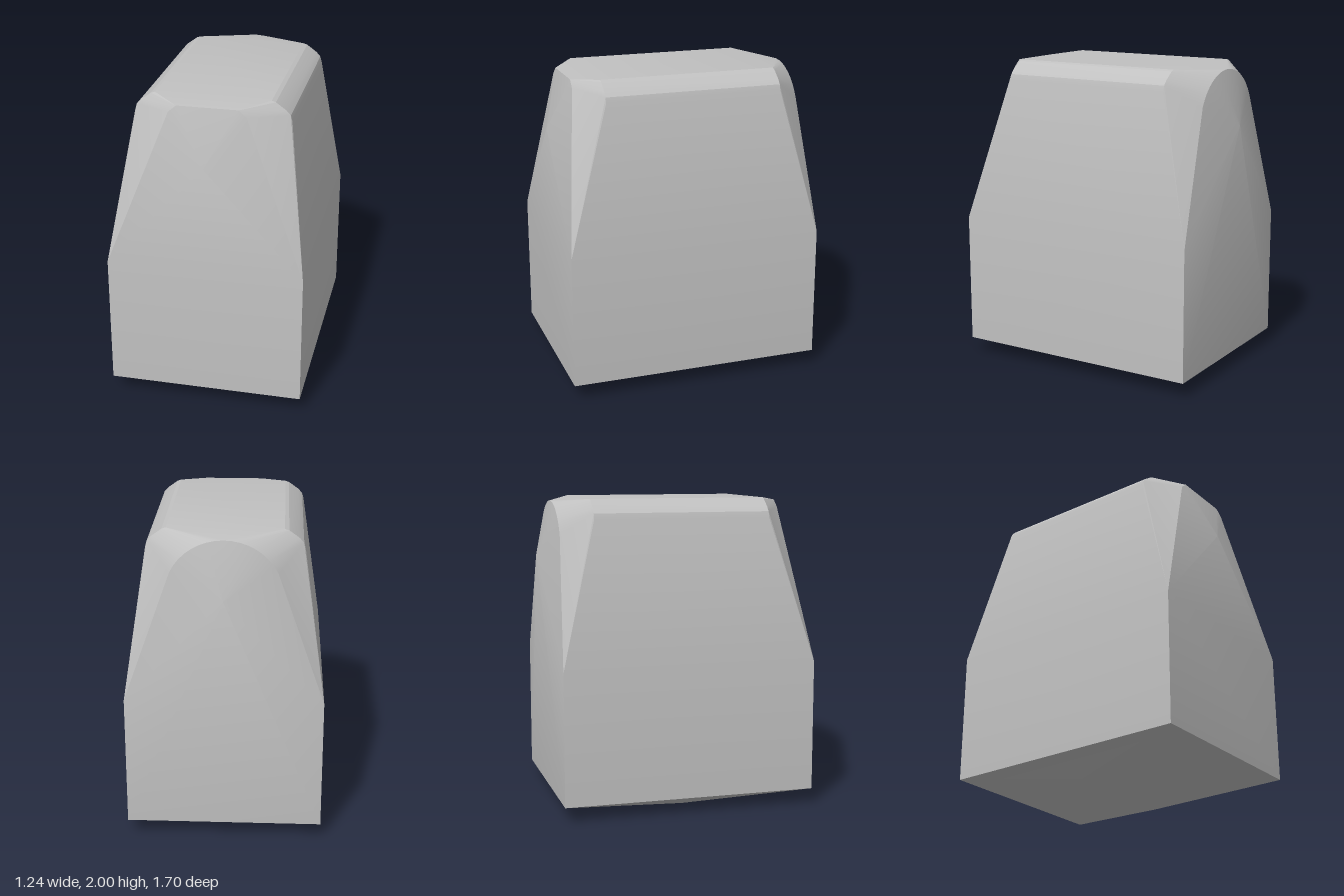
import * as THREE from 'three';
import { ConvexGeometry } from 'three/addons/geometries/ConvexGeometry.js';
import { toCreasedNormals } from 'three/addons/utils/BufferGeometryUtils.js';

export function createModel() {
  const group = new THREE.Group();
  group.name = 'facetedBlock';
  const grey = new THREE.MeshStandardMaterial({ color: 0xc0c0c0 });
  grey.name = 'plain grey';

  const points = [];
  const add = (x, y, z) => points.push(new THREE.Vector3(x, y, z));
  const pair = (x, y, z) => { add(x, y, z); add(-x, y, z); };

  // Round foot under the block
  for (let i = 0; i < 24; i++) {
    const a = (i / 24) * Math.PI * 2;
    add(0.39 * Math.cos(a), 0, 0.025 + 0.395 * Math.sin(a));
  }

  // Upright walls of the lower half
  for (const y of [0.1, 0.95]) {
    pair(0.62, y, 0.85);
    pair(0.62, y, -0.8);
  }

  // Rounded shoulders along the roof
  for (const [x, y] of [[0.487, 1.88], [0.477, 1.915], [0.45, 1.945], [0.385, 1.992], [0.36, 2]]) {
    pair(x, y, 0.575);
    pair(x, y, -0.57);
  }

  // Front point and the short ridge above it
  add(0, 1.63, 0.835);
  pair(0.27, 1.87, 0.722);
  pair(0.24, 1.935, 0.722);
  pair(0.19, 1.978, 0.72);

  // Back point with an arched fan above it
  add(0, 1.63, -0.85);
  for (let i = 0; i <= 16; i++) {
    const a = THREE.MathUtils.degToRad(25 + (130 * i) / 16);
    add(0.36 * Math.cos(a), 1.63 + 0.35 * Math.sin(a), -0.755);
  }

  const body = new THREE.Mesh(toCreasedNormals(new ConvexGeometry(points), 0.3), grey);
  body.name = 'body';
  group.add(body);
  return group;
}
